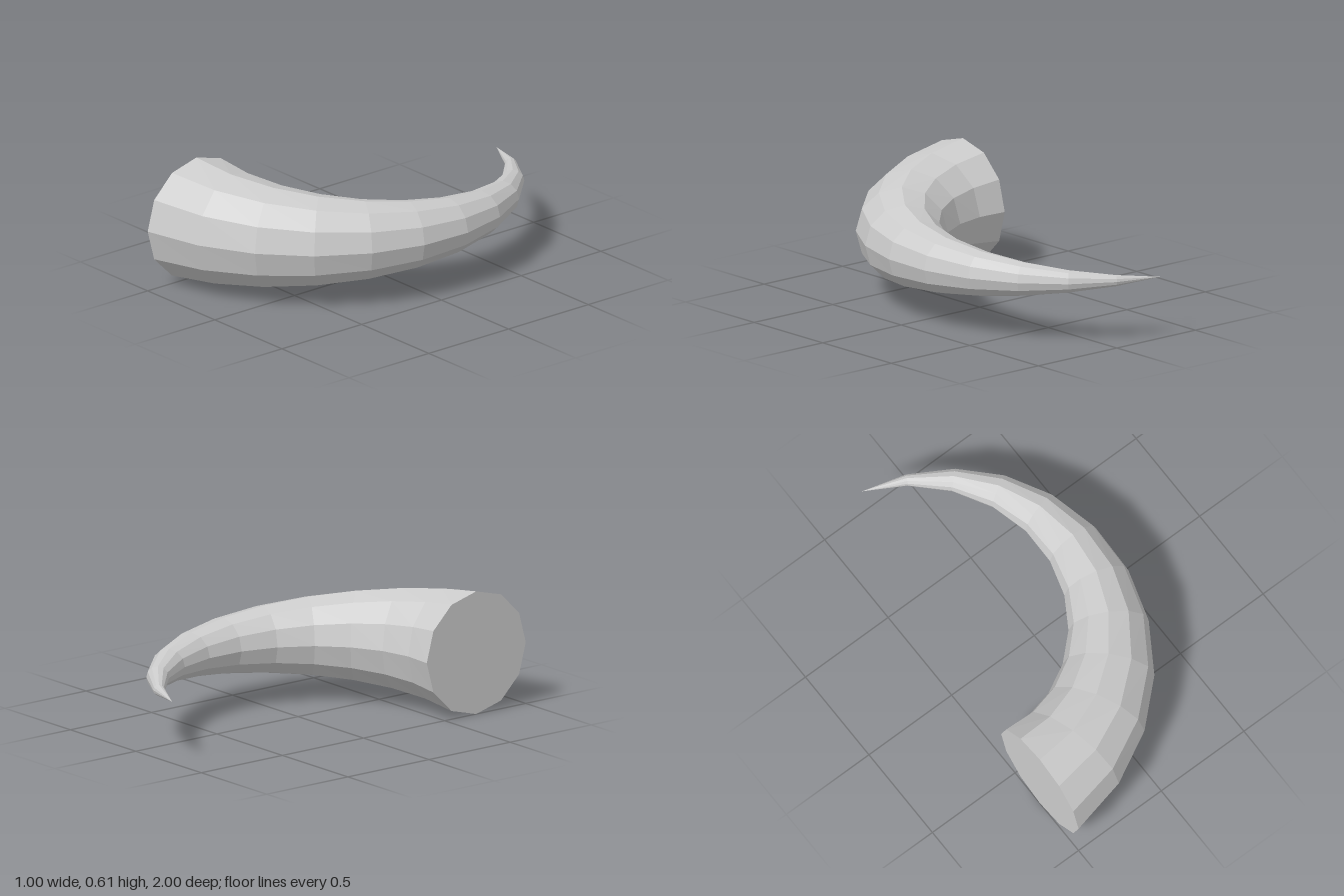
import * as THREE from 'three';

const BASE_RADIUS = 0.305;
const BEND_RADIUS = 0.862;
const BEND_ANGLE = THREE.MathUtils.degToRad(165);
const BEND_CENTRE = { x: -0.5, z: -0.167 };

// A straight 12-sided cone, bent along a horizontal arc
function bentCone() {
  const cone = new THREE.CylinderGeometry(0, BASE_RADIUS, 1, 12, 11);
  const pos = cone.attributes.position;
  for (let i = 0; i < pos.count; i++) {
    const angle = (pos.getY(i) + 0.5) * BEND_ANGLE;
    const reach = BEND_RADIUS + pos.getZ(i);
    pos.setXYZ(
      i,
      BEND_CENTRE.x + reach * Math.sin(angle),
      BASE_RADIUS - pos.getX(i),
      BEND_CENTRE.z + reach * Math.cos(angle)
    );
  }
  const faceted = cone.toNonIndexed();
  faceted.computeVertexNormals();
  return faceted;
}

export function createModel() {
  const group = new THREE.Group();
  group.name = 'curvedHorn';

  // Horn with its flat base at -x, sweeping round to a point at the back
  const material = new THREE.MeshStandardMaterial({ color: 0xcccccc, flatShading: true });
  const horn = new THREE.Mesh(bentCone(), material);
  horn.name = 'horn';
  group.add(horn);

  return group;
}
